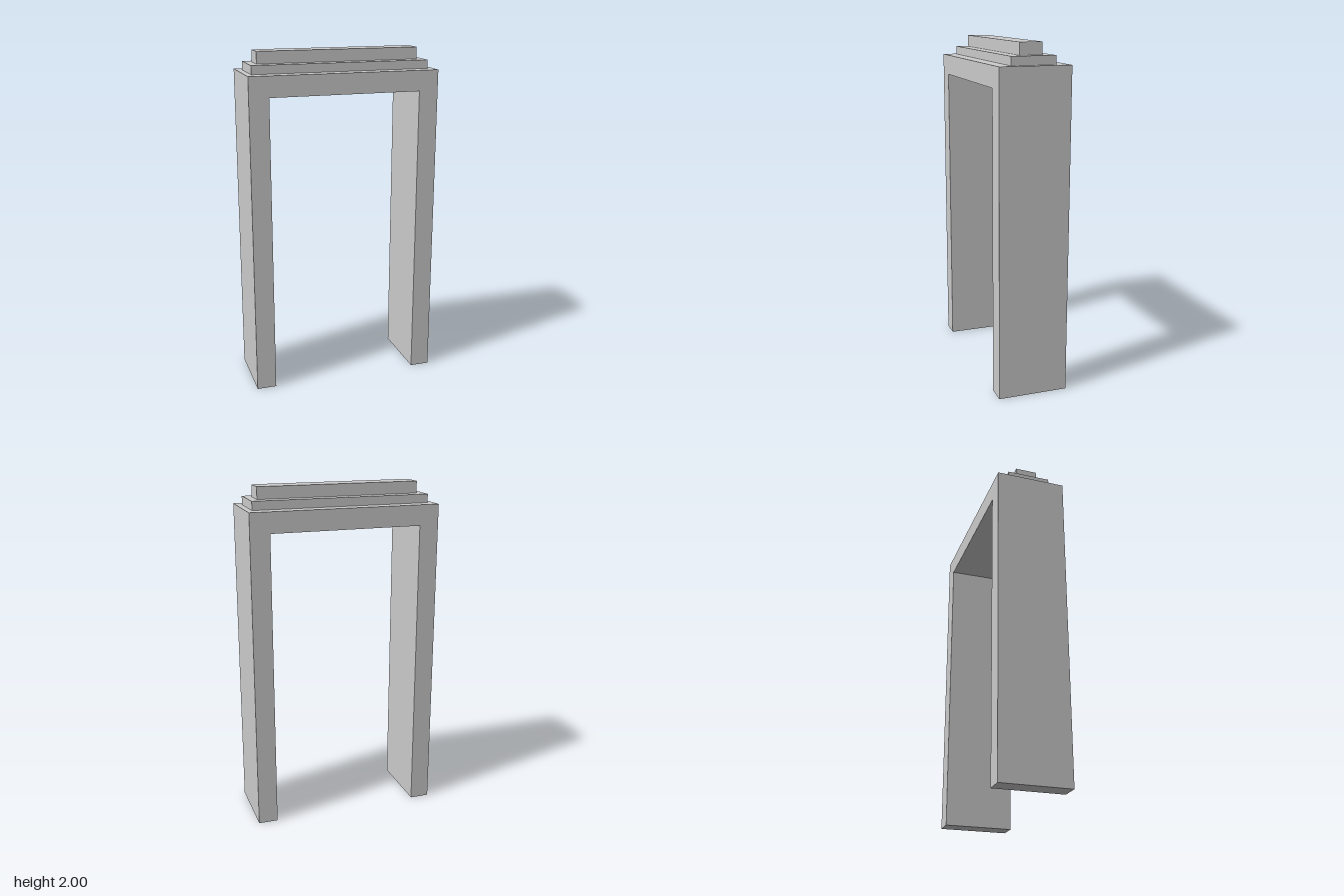
import * as THREE from 'three';

export function createModel() {
  const group = new THREE.Group();
  const material = new THREE.MeshStandardMaterial({ color: 0xcccccc, flatShading: true });

  const add = (name, geometry) => {
    const mesh = new THREE.Mesh(geometry, material);
    mesh.name = name;
    group.add(mesh);
    return mesh;
  };

  // Door frame: two jambs and a lintel as one extruded outline
  const outer = 0.56, inner = 0.445, top = 1.88, opening = 1.76, depth = 0.41;
  const outline = new THREE.Shape([
    [-outer, 0], [-inner, 0], [-inner, opening], [inner, opening],
    [inner, 0], [outer, 0], [outer, top], [-outer, top],
  ].map(([x, y]) => new THREE.Vector2(x, y)));
  const frame = new THREE.ExtrudeGeometry(outline, { depth, bevelEnabled: false });
  frame.translate(0, 0, -depth / 2);
  add('frame', frame);

  // Stepped cornice: [name, width, bottom, top, depth]
  for (const [name, w, y0, y1, d] of [
    ['lowerStep', 1.05, top, 1.93, 0.255],
    ['upperStep', 0.962, 1.93, 2, 0.128],
  ]) {
    add(name, new THREE.BoxGeometry(w, y1 - y0, d)).position.y = (y0 + y1) / 2;
  }

  return group;
}
